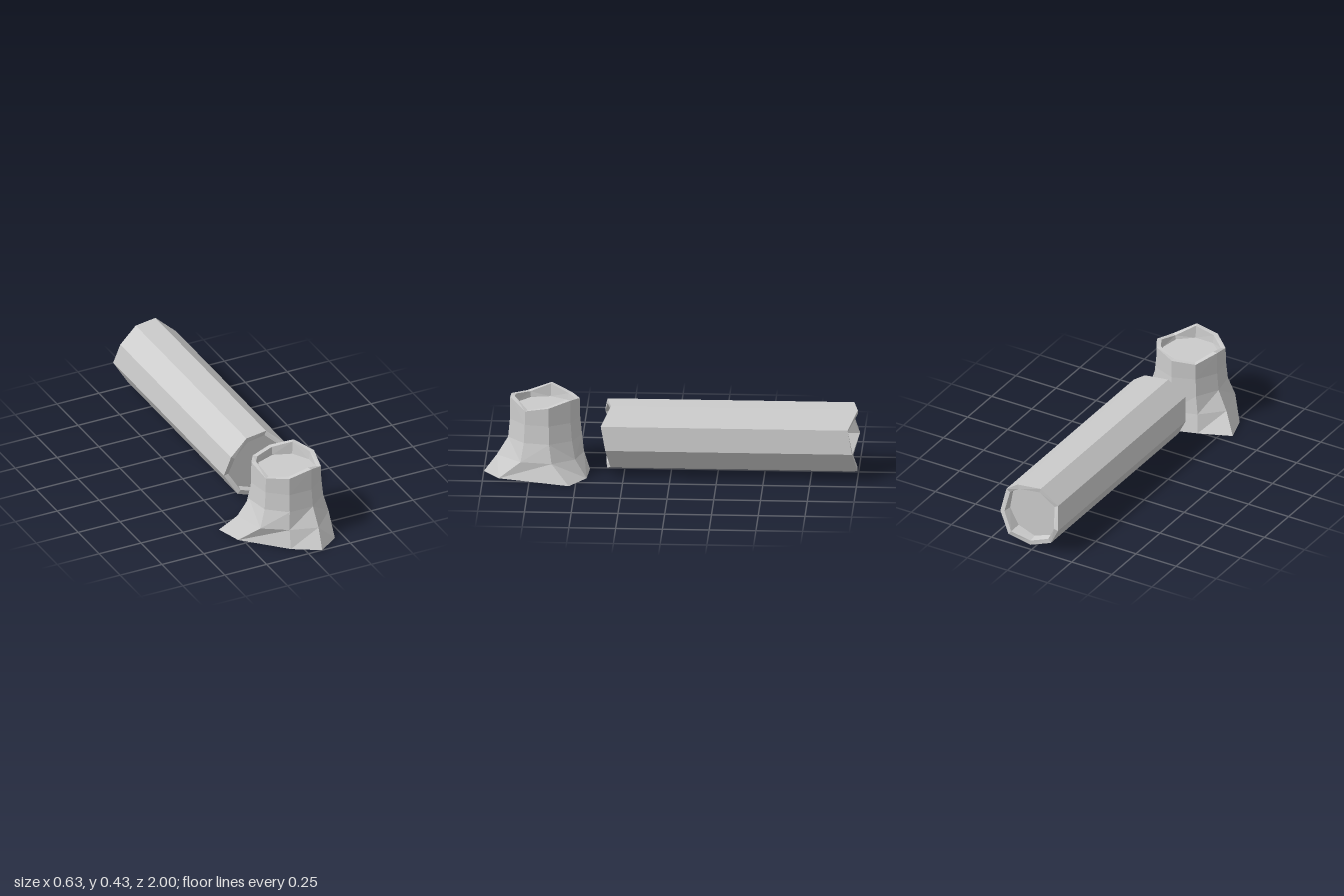
import * as THREE from 'three';

const SIDES = 9;
const CX = 0.0225;
// Splintered height of each corner of a broken end, starting at 30 degrees
const JAGGED = [0.375, 0.425, 0.4, 0.385, 0.425, 0.39, 0.4, 0.425, 0.4];
const RIDGES = [1, 4, 8]; // corners that run out into roots
const RADIUS = 0.19, INNER = 0.164, FLOOR_RADIUS = 0.156, FLOOR = 0.355;

// Ring of nine [u, v, w] corners; w may be a number or one value per corner
function ring(cu, cv, radius, w) {
  return Array.from({ length: SIDES }, (_, k) => {
    const a = THREE.MathUtils.degToRad(30 + 40 * k);
    return [cu + radius * Math.cos(a), cv + radius * Math.sin(a), Array.isArray(w) ? w[k] : w];
  });
}

// Skin a closed solid over successive rings and cap both ends
function loft(rings, name) {
  const pos = [];
  const tri = (...pts) => pts.forEach((p) => pos.push(...p));
  const middle = (r) => [0, 1, 2].map((i) => r.reduce((s, p) => s + p[i], 0) / SIDES);
  const first = rings[0], last = rings[rings.length - 1];
  const c0 = middle(first), c1 = middle(last);
  for (let k = 0; k < SIDES; k++) {
    const n = (k + 1) % SIDES;
    for (let i = 0; i < rings.length - 1; i++) {
      const a = rings[i][k], b = rings[i][n], c = rings[i + 1][n], d = rings[i + 1][k];
      if (RIDGES.includes(n)) {
        tri(a, d, c);
        tri(a, c, b);
      } else {
        tri(a, d, b);
        tri(d, c, b);
      }
    }
    tri(c0, first[k], first[n]);
    tri(c1, last[n], last[k]);
  }
  const geo = new THREE.BufferGeometry();
  geo.setAttribute('position', new THREE.Float32BufferAttribute(pos, 3));
  geo.computeVertexNormals();
  const mesh = new THREE.Mesh(geo, new THREE.MeshStandardMaterial({ color: 0xcccccc, flatShading: true }));
  mesh.name = name;
  return mesh;
}

export function createModel() {
  const model = new THREE.Group();
  model.name = 'felledTree';

  // Stump: flared root outline, narrowing trunk, broken rim and sunken cut
  const CZ = 0.68;
  const ground = [
    [0.2, 0.915], [0.082, 1], [-0.063, 0.915], [-0.272, 0.704], [-0.315, 0.561],
    [-0.14, 0.487], [0.02, 0.435], [0.177, 0.446], [0.313, 0.535],
  ].map(([x, z]) => [x, z, 0]);
  const flare = [
    [0.222, 0.797], [0.095, 0.93], [-0.055, 0.885], [-0.187, 0.8], [-0.237, 0.625],
    [-0.125, 0.513], [0.022, 0.467], [0.162, 0.508], [0.246, 0.63],
  ].map(([x, z]) => [x, z, 0.1]);
  const stumpRings = [
    ground, flare,
    ring(CX, CZ, 0.202, 0.2),
    ring(CX, CZ, 0.192, 0.3),
    ring(CX, CZ, RADIUS, JAGGED),
    ring(CX, CZ, INNER, JAGGED),
    ring(CX, CZ, FLOOR_RADIUS, FLOOR),
  ].map((r) => r.map(([x, z, y]) => [x, y, z]));
  model.add(loft(stumpRings, 'stump'));

  // Fallen log: same section lying along z, broken at both ends
  const CY = 0.2;
  const toFront = (h) => 0.745 - h;
  const toBack = (h) => -0.575 - h;
  const front = JAGGED.map(toFront), back = JAGGED.map(toBack);
  model.add(loft([
    ring(CX, CY, FLOOR_RADIUS, 0.32 - 0.0),
    ring(CX, CY, INNER, front.map((z) => Math.max(z, 0.32))),
    ring(CX, CY, RADIUS, front),
    ring(CX, CY, RADIUS, back),
    ring(CX, CY, INNER, back),
    ring(CX, CY, FLOOR_RADIUS, toBack(FLOOR)),
  ], 'fallenLog'));

  return model;
}
